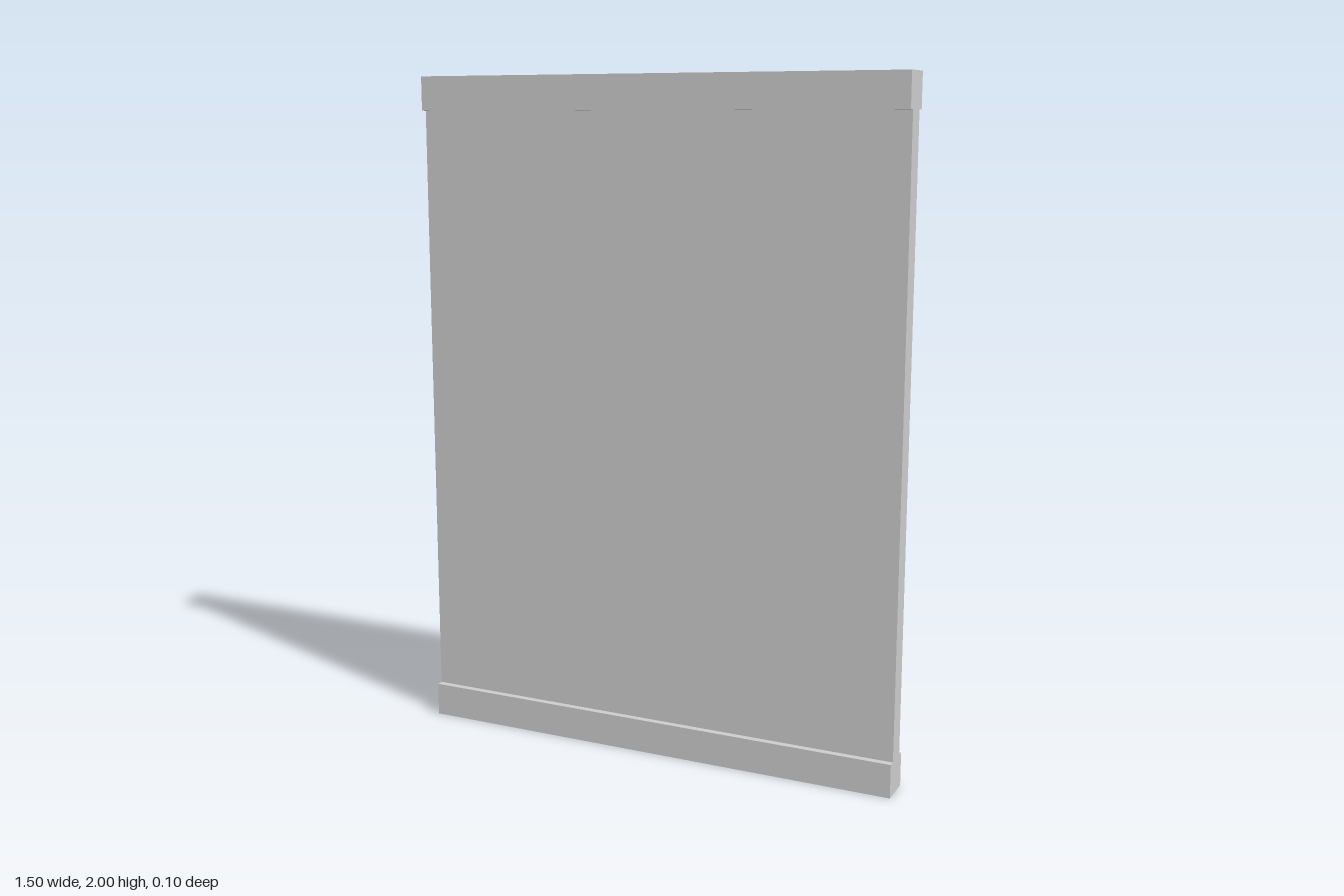
import * as THREE from 'three';

const WIDTH = 1.5;
const HEIGHT = 2;
const RAIL_HEIGHT = 0.1;
const RAIL_DEPTH = 0.1;
const PANEL_DEPTH = 0.06;

export function createModel() {
  const group = new THREE.Group();
  group.name = 'wallPanel';
  const material = new THREE.MeshStandardMaterial({ color: 0xcccccc });

  // Adds a full-width box centred at height y
  const addBox = (name, height, depth, y) => {
    const mesh = new THREE.Mesh(new THREE.BoxGeometry(WIDTH, height, depth), material);
    mesh.name = name;
    mesh.position.y = y;
    group.add(mesh);
  };

  // Thin sheet held between two thicker rails
  addBox('panel', HEIGHT - 2 * RAIL_HEIGHT, PANEL_DEPTH, HEIGHT / 2);
  addBox('bottomRail', RAIL_HEIGHT, RAIL_DEPTH, RAIL_HEIGHT / 2);
  addBox('topRail', RAIL_HEIGHT, RAIL_DEPTH, HEIGHT - RAIL_HEIGHT / 2);

  return group;
}
